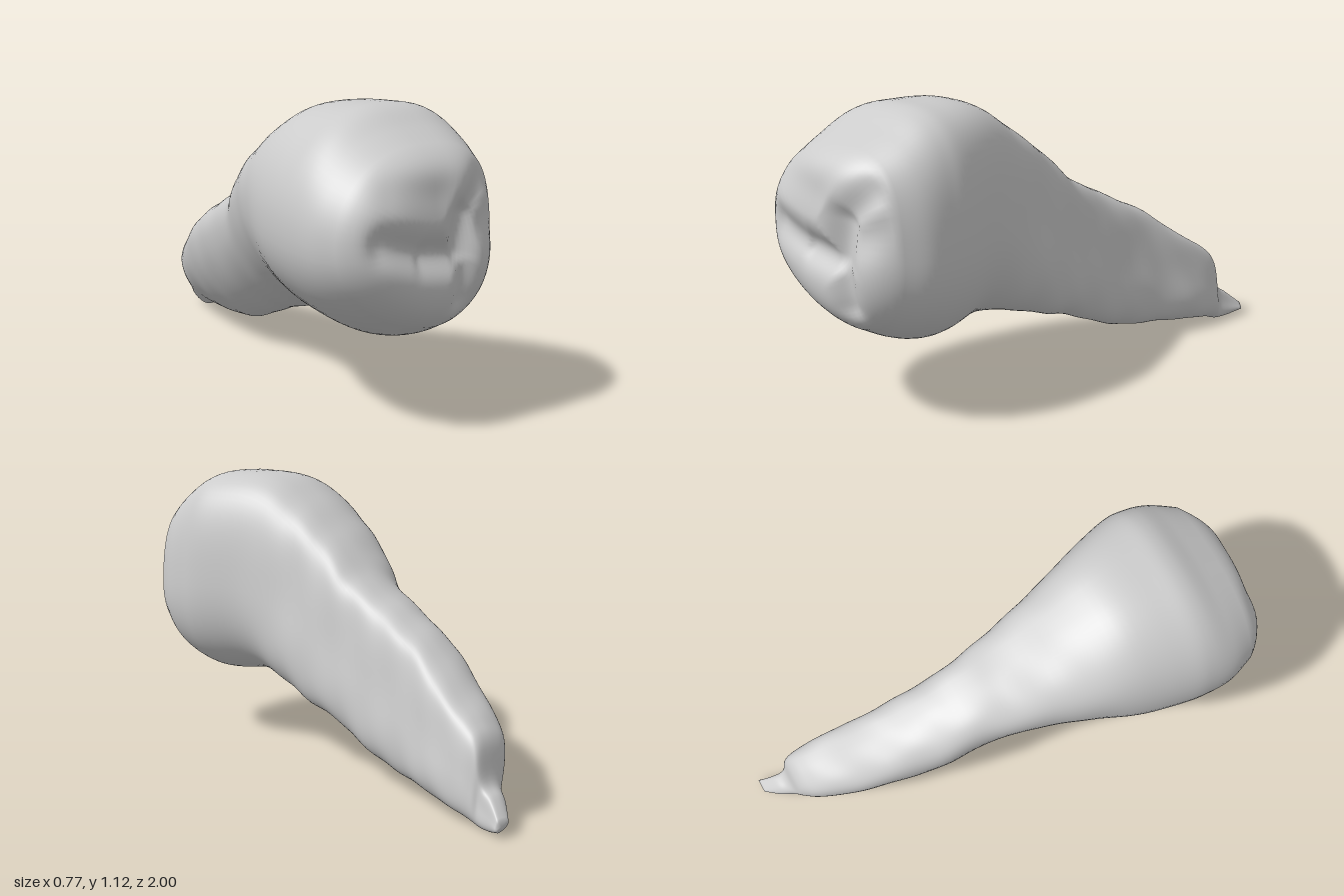
import * as THREE from 'three';

// Outline stations from the crown to the root tip: z, xMin, xMax, yMin, yMax
const STATIONS = [
  [0.90, -0.345, 0.325, 0.375, 1.005],
  [0.80, -0.38, 0.37, 0.325, 1.06],
  [0.70, -0.385, 0.378, 0.295, 1.115],
  [0.60, -0.375, 0.372, 0.295, 1.125],
  [0.40, -0.33, 0.31, 0.315, 1.105],
  [0.20, -0.25, 0.268, 0.28, 0.99],
  [0.00, -0.16, 0.25, 0.22, 0.84],
  [-0.12, -0.11, 0.245, 0.18, 0.74],
  [-0.30, -0.085, 0.255, 0.105, 0.65],
  [-0.50, -0.03, 0.278, 0.07, 0.55],
  [-0.68, 0.04, 0.32, 0.05, 0.425],
  [-0.80, 0.105, 0.335, 0.035, 0.35],
  [-0.86, 0.16, 0.33, 0.015, 0.29],
  [-0.89, 0.21, 0.325, 0.008, 0.165],
  [-0.94, 0.245, 0.335, 0.012, 0.12],
  [-1.00, 0.30, 0.36, 0.03, 0.065],
];

// Grooves of the biting surface: x1, y1, x2, y2, depth, width
const GROOVES = [
  [-0.22, 0.71, -0.05, 0.66, 0.04, 0.06],
  [-0.05, 0.66, 0.11, 0.64, 0.05, 0.06],
  [0.11, 0.65, 0.14, 0.77, 0.06, 0.07],
  [0.14, 0.77, 0.24, 0.88, 0.045, 0.07],
  [0.13, 0.64, 0.14, 0.48, 0.04, 0.05],
  [0.15, 0.74, 0.34, 0.77, 0.035, 0.09],
  [-0.18, 0.89, 0.00, 0.86, 0.015, 0.07],
];

function grooveDepth(x, y) {
  let depth = 0;
  for (const [x1, y1, x2, y2, d, w] of GROOVES) {
    const dx = x2 - x1, dy = y2 - y1;
    const t = THREE.MathUtils.clamp(((x - x1) * dx + (y - y1) * dy) / (dx * dx + dy * dy), 0, 1);
    const dist = Math.hypot(x - x1 - t * dx, y - y1 - t * dy);
    depth = Math.max(depth, d * Math.exp(-((dist / w) ** 2)));
  }
  return depth;
}

// Section squarer at the top; on the root (root = 1) its lower end is pushed
// towards +x and its widest point on the -x side sits higher
function sectionPoint(lo, hi, angle, scale, root) {
  const c = Math.cos(angle), s = Math.sin(angle), p = 2 / (2.2 + 0.3 * s);
  const sx = Math.sign(c) * Math.abs(c) ** p, sy = Math.sign(s) * Math.abs(s) ** p;
  const w = (hi.x - lo.x) / 2, h = (hi.y - lo.y) / 2;
  const shift = (0.2 + 0.2 * root) * sy * sy - (0.06 + 0.19 * root) * sy;
  const waist = 0.15 * root * (1 - sy * sy) * (1 - sx);
  return [
    (lo.x + hi.x) / 2 + scale * w * (sx + shift),
    (lo.y + hi.y) / 2 + scale * h * (sy + waist),
  ];
}

function toothGeometry() {
  const SEG = 72, CAP = 24, BODY = 96;
  const low = new THREE.CatmullRomCurve3(STATIONS.map(([z, x, , y]) => new THREE.Vector3(x, y, z)), false, 'catmullrom', 0.5);
  const high = new THREE.CatmullRomCurve3(STATIONS.map(([z, , x, , y]) => new THREE.Vector3(x, y, z)), false, 'catmullrom', 0.5);
  const pos = [], index = [];

  // Biting surface: rings growing from the middle to the rim
  const rimLow = low.getPoint(0), rimHigh = high.getPoint(0);
  for (let i = 0; i < CAP; i++) {
    const r = i / CAP;
    for (let j = 0; j < SEG; j++) {
      const [x, y] = sectionPoint(rimLow, rimHigh, (j / SEG) * Math.PI * 2, r, 0);
      pos.push(x, y, 0.9 + 0.1 * (1 - r ** 5) - grooveDepth(x, y) * (1 - r ** 8));
    }
  }
  // Crown sides, neck and root
  for (let i = 0; i <= BODY; i++) {
    const t = i / BODY, lo = low.getPoint(t), hi = high.getPoint(t);
    const root = 1 - THREE.MathUtils.smoothstep(lo.z, 0.05, 0.5);
    for (let j = 0; j < SEG; j++) {
      const a = (j / SEG) * Math.PI * 2;
      const bump = 1 + 0.006 * root * (Math.sin(lo.z * 23 + 5 * a) + Math.sin(lo.z * 37 - 4 * a));
      const [x, y] = sectionPoint(lo, hi, a, bump, root);
      pos.push(x, Math.max(y, 0), lo.z);
    }
  }
  const rows = CAP + BODY + 1;
  for (let i = 0; i < rows - 1; i++) {
    for (let j = 0; j < SEG; j++) {
      const k = (j + 1) % SEG;
      const a = i * SEG + j, b = i * SEG + k, c = a + SEG, d = b + SEG;
      if (i > 0) index.push(a, c, b);
      // The innermost ring is a single point
      index.push(i > 0 ? b : 0, c, d);
    }
  }
  // Close the root tip
  const end = (rows - 1) * SEG, tip = pos.length / 3;
  pos.push(0.335, 0.047, -1);
  for (let j = 0; j < SEG; j++) index.push(end + j, tip, end + ((j + 1) % SEG));

  const geometry = new THREE.BufferGeometry();
  geometry.setAttribute('position', new THREE.Float32BufferAttribute(pos, 3));
  geometry.setIndex(index);
  geometry.computeVertexNormals();
  return geometry;
}

export function createModel() {
  const group = new THREE.Group();
  group.name = 'tooth';
  const tooth = new THREE.Mesh(toothGeometry(), new THREE.MeshStandardMaterial({ color: 0xcccccc }));
  tooth.name = 'crownAndRoot';
  group.add(tooth);
  return group;
}
